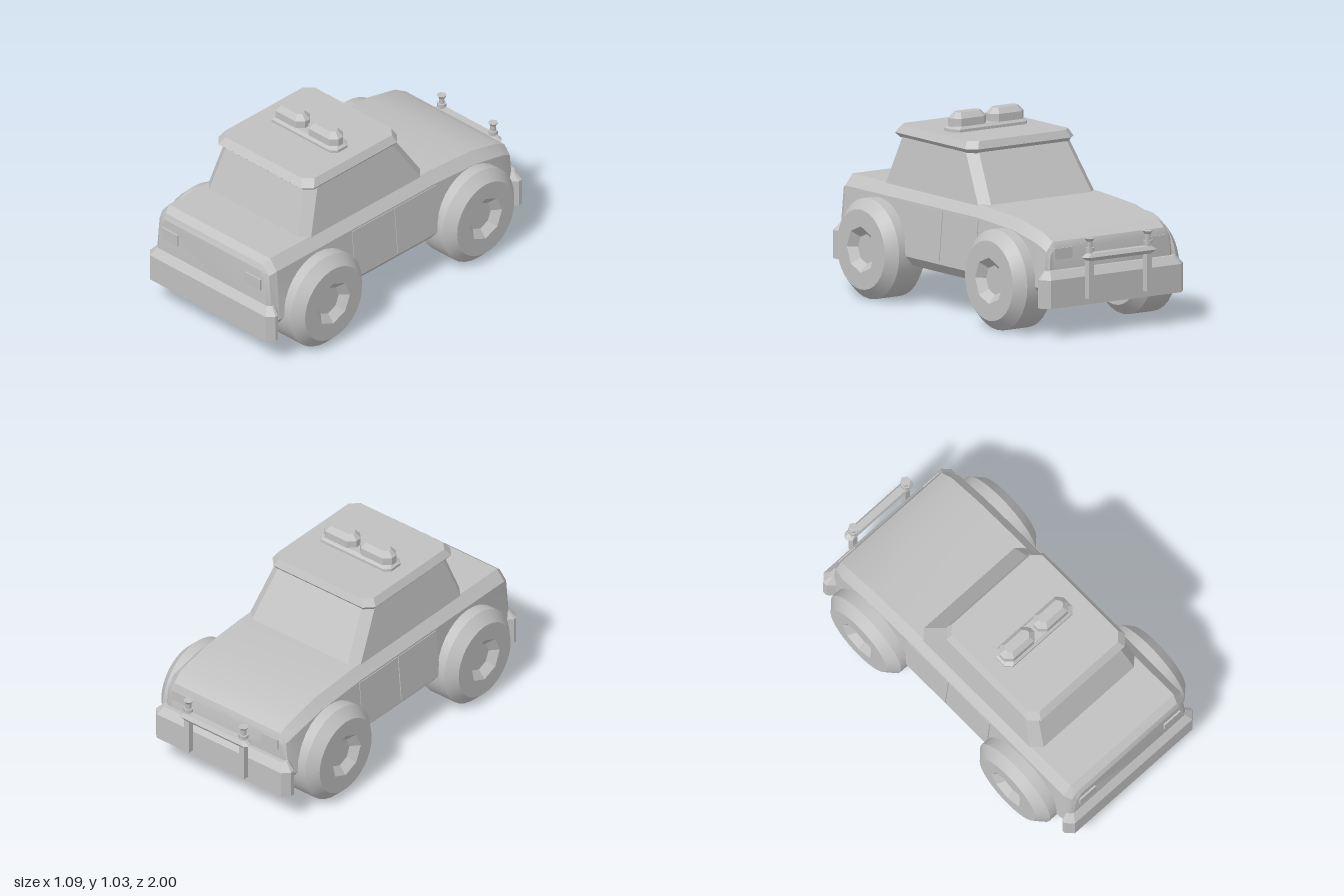
import * as THREE from 'three';
import { toCreasedNormals } from 'three/addons/utils/BufferGeometryUtils.js';

const grey = new THREE.MeshStandardMaterial({ color: 0xc0c0c0 });
grey.name = 'plain grey';

function add(parent, name, geometry) {
  const mesh = new THREE.Mesh(geometry, grey);
  mesh.name = name;
  parent.add(mesh);
  return mesh;
}

// Skin a list of convex rings (counter-clockwise seen from the far end) and cap both ends.
function loft(rings, crease = 0.4) {
  const n = rings[0].length;
  const index = [];
  const last = (rings.length - 1) * n;
  for (let r = 0; r < rings.length - 1; r++) {
    for (let i = 0; i < n; i++) {
      const a = r * n + i, b = r * n + (i + 1) % n;
      index.push(a, b, b + n, a, b + n, a + n);
    }
  }
  for (let i = 1; i < n - 1; i++) {
    index.push(0, i + 1, i, last, last + i, last + i + 1);
  }
  const g = new THREE.BufferGeometry();
  g.setAttribute('position', new THREE.Float32BufferAttribute(rings.flat(2), 3));
  g.setIndex(index);
  return toCreasedNormals(g, crease);
}

// Horizontal rectangle with cut corners at height y.
function cutRect(y, x0, x1, z0, z1, c) {
  return [
    [x1, z1 - c], [x1, z0 + c], [x1 - c, z0], [x0 + c, z0],
    [x0, z0 + c], [x0, z1 - c], [x0 + c, z1], [x1 - c, z1],
  ].map(([x, z]) => [x, y, z]);
}

// Body cross-section facing +z.
function bodyRing([z, floorY, floorW, sillY, sillW, beltY, beltW, topY, topW]) {
  const half = [[floorW, floorY], [sillW, sillY], [beltW, beltY], [topW, topY]];
  const mirrored = half.map(([x, y]) => [-x, y]).reverse();
  return [...half, ...mirrored].map(([x, y]) => [x, y, z]);
}

function makeWheel() {
  const wheel = new THREE.Group();
  const lathe = (pts, sides, crease) => {
    const g = new THREE.LatheGeometry(pts.map(p => new THREE.Vector2(...p)), sides);
    return toCreasedNormals(g.rotateZ(-Math.PI / 2), crease);
  };
  add(wheel, 'tyre', lathe([[0, 0.275], [0.215, 0.275], [0.27, 0.33], [0.27, 0.49], [0.215, 0.545]], 32, 0.5));
  add(wheel, 'hub', lathe([[0.125, 0.545], [0.08, 0.505], [0, 0.505]], 8, 0.1));
  // Flat side wall with an eight-sided opening
  const ring = (r, n) => Array.from({ length: n }, (_, i) =>
    new THREE.Vector2(r * Math.cos(i / n * Math.PI * 2), r * Math.sin(i / n * Math.PI * 2)));
  const face = new THREE.Shape(ring(0.215, 32));
  face.holes.push(new THREE.Path(ring(0.125, 8).reverse()));
  add(wheel, 'sideWall', new THREE.ShapeGeometry(face).rotateY(Math.PI / 2).translate(0.545, 0, 0));
  return wheel;
}

export function createModel() {
  const car = new THREE.Group();
  car.name = 'patrolCar';

  // Body: z, floor y/width, sill y/width, belt y/width, top y/width
  add(car, 'body', loft([
    [-0.885, 0.23, 0.36, 0.28, 0.40, 0.44, 0.39, 0.475, 0.36],
    [-0.87, 0.21, 0.38, 0.265, 0.425, 0.46, 0.405, 0.51, 0.365],
    [-0.80, 0.21, 0.40, 0.265, 0.445, 0.50, 0.425, 0.55, 0.375],
    [-0.60, 0.21, 0.40, 0.265, 0.45, 0.54, 0.425, 0.595, 0.375],
    [-0.27, 0.21, 0.40, 0.265, 0.45, 0.56, 0.425, 0.617, 0.375],
    [0.91, 0.21, 0.40, 0.265, 0.445, 0.56, 0.425, 0.62, 0.375],
    [0.95, 0.21, 0.39, 0.265, 0.43, 0.54, 0.405, 0.59, 0.36],
    [0.965, 0.23, 0.37, 0.28, 0.41, 0.51, 0.385, 0.56, 0.35],
  ].map(bodyRing), 0.45));

  // Doors: thin plates that lean with the body side
  for (const s of [-1, 1]) {
    for (const z of [-0.133, 0.187]) {
      const door = new THREE.BoxGeometry(0.008, 0.27, 0.314).translate(s * 0.437, 0.415, z);
      const p = door.attributes.position;
      for (let i = 0; i < p.count; i++) p.setX(i, p.getX(i) - s * (p.getY(i) - 0.415) * 0.085);
      door.computeVertexNormals();
      add(car, 'door', door);
    }
  }

  // Cabin and flared roof
  add(car, 'cabin', loft([
    cutRect(0.60, -0.382, 0.382, -0.28, 0.66, 0.05),
    cutRect(0.87, -0.338, 0.338, -0.105, 0.565, 0.05),
  ], 0.1));
  add(car, 'roof', loft([
    cutRect(0.865, -0.335, 0.335, -0.10, 0.58, 0.04),
    cutRect(0.89, -0.355, 0.355, -0.12, 0.607, 0.05),
    cutRect(0.93, -0.33, 0.33, -0.10, 0.575, 0.045),
  ], 0.1));

  // Roof light bar
  add(car, 'lightBarBase', loft([
    cutRect(0.925, -0.246, 0.246, 0.165, 0.297, 0.03),
    cutRect(0.945, -0.246, 0.246, 0.165, 0.297, 0.03),
    cutRect(0.96, -0.225, 0.225, 0.18, 0.282, 0.03),
  ], 0.1));
  for (const x of [-0.124, 0.122]) {
    add(car, 'beacon', loft([
      cutRect(0.955, x - 0.11, x + 0.11, 0.178, 0.284, 0.035),
      cutRect(1.0, x - 0.11, x + 0.11, 0.178, 0.284, 0.035),
      cutRect(1.03, x - 0.08, x + 0.08, 0.203, 0.259, 0.02),
    ], 0.3));
  }

  // Bumpers with sloped top edges
  add(car, 'tailBumper', loft([
    cutRect(0.165, -0.465, 0.465, 0.905, 1.0, 0.038),
    cutRect(0.317, -0.465, 0.465, 0.905, 1.0, 0.038),
    cutRect(0.36, -0.425, 0.425, 0.915, 0.967, 0.02),
  ], 0.1));
  add(car, 'noseBumper', loft([
    cutRect(0.165, -0.465, 0.465, -0.94, -0.84, 0.038),
    cutRect(0.317, -0.465, 0.465, -0.94, -0.84, 0.038),
    cutRect(0.36, -0.425, 0.425, -0.907, -0.855, 0.02),
  ], 0.1));

  // Lamps at both ends
  for (const s of [-1, 1]) {
    add(car, 'tailLamp', new THREE.BoxGeometry(0.115, 0.066, 0.03)).position.set(s * 0.307, 0.475, 0.96);
    add(car, 'headLamp', new THREE.BoxGeometry(0.115, 0.06, 0.03)).position.set(s * 0.307, 0.445, -0.877);
  }

  // Push bar: capped posts joined by a tapered crossbar
  for (const s of [-1, 1]) {
    const post = new THREE.Group();
    post.name = 'pushBarPost';
    post.position.set(s * 0.19, 0, -0.963);
    add(post, 'post', new THREE.BoxGeometry(0.034, 0.24, 0.034)).position.y = 0.32;
    add(post, 'neck', new THREE.CylinderGeometry(0.016, 0.016, 0.08, 6)).position.y = 0.48;
    add(post, 'collar', new THREE.CylinderGeometry(0.026, 0.026, 0.02, 6)).position.y = 0.465;
    add(post, 'cap', new THREE.CylinderGeometry(0.028, 0.014, 0.02, 6)).position.y = 0.515;
    car.add(post);
  }
  add(car, 'pushBarRail', loft([
    cutRect(0.405, -0.205, 0.205, -0.985, -0.945, 0.01),
    cutRect(0.425, -0.24, 0.24, -0.998, -0.938, 0.02),
    cutRect(0.445, -0.205, 0.205, -0.985, -0.945, 0.01),
  ], 0.1));

  // Wheels
  for (const z of [-0.545, 0.605]) {
    for (const s of [-1, 1]) {
      const wheel = makeWheel();
      wheel.name = (z < 0 ? 'nose' : 'tail') + (s > 0 ? 'LeftWheel' : 'RightWheel');
      wheel.position.set(0, 0.272, z);
      if (s < 0) wheel.rotation.y = Math.PI;
      car.add(wheel);
    }
  }
  return car;
}
